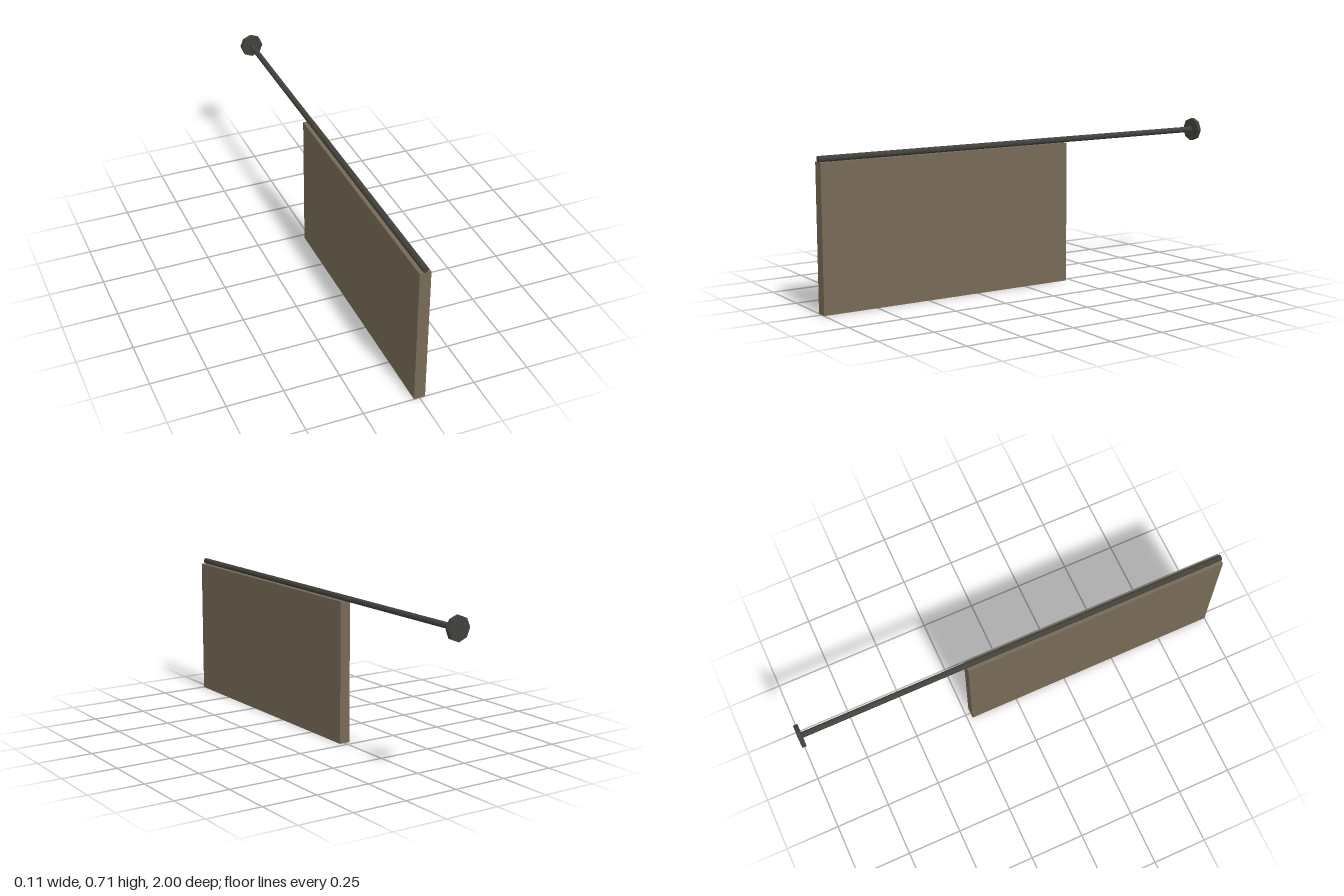
import * as THREE from 'three';

export function createModel() {
  const model = new THREE.Group();
  const wood = new THREE.MeshStandardMaterial({ name: 'brown board', color: 0x776957 });
  const iron = new THREE.MeshStandardMaterial({ name: 'dark iron', color: 0x40413b, flatShading: true });

  const rodY = 0.653;
  const add = (name, geometry, material, y, z) => {
    const mesh = new THREE.Mesh(geometry, material);
    mesh.name = name;
    mesh.position.set(0, y, z);
    model.add(mesh);
  };
  // Cylinder lying along z
  const bar = (radius, length, sides) =>
    new THREE.CylinderGeometry(radius, radius, length, sides).rotateX(Math.PI / 2);

  // Hanging sign panel, flush with the front end of the rod
  add('signBoard', new THREE.BoxGeometry(0.05, 0.64, 1.226), wood, 0.32, 0.387);

  // Horizontal rod resting on the panel's top edge
  add('supportRod', bar(0.0132, 2, 12), iron, rodY, 0);

  // Octagonal wall plate at the back end
  add('wallPlate', bar(0.054, 0.019, 8), iron, rodY, -0.989);

  return model;
}
